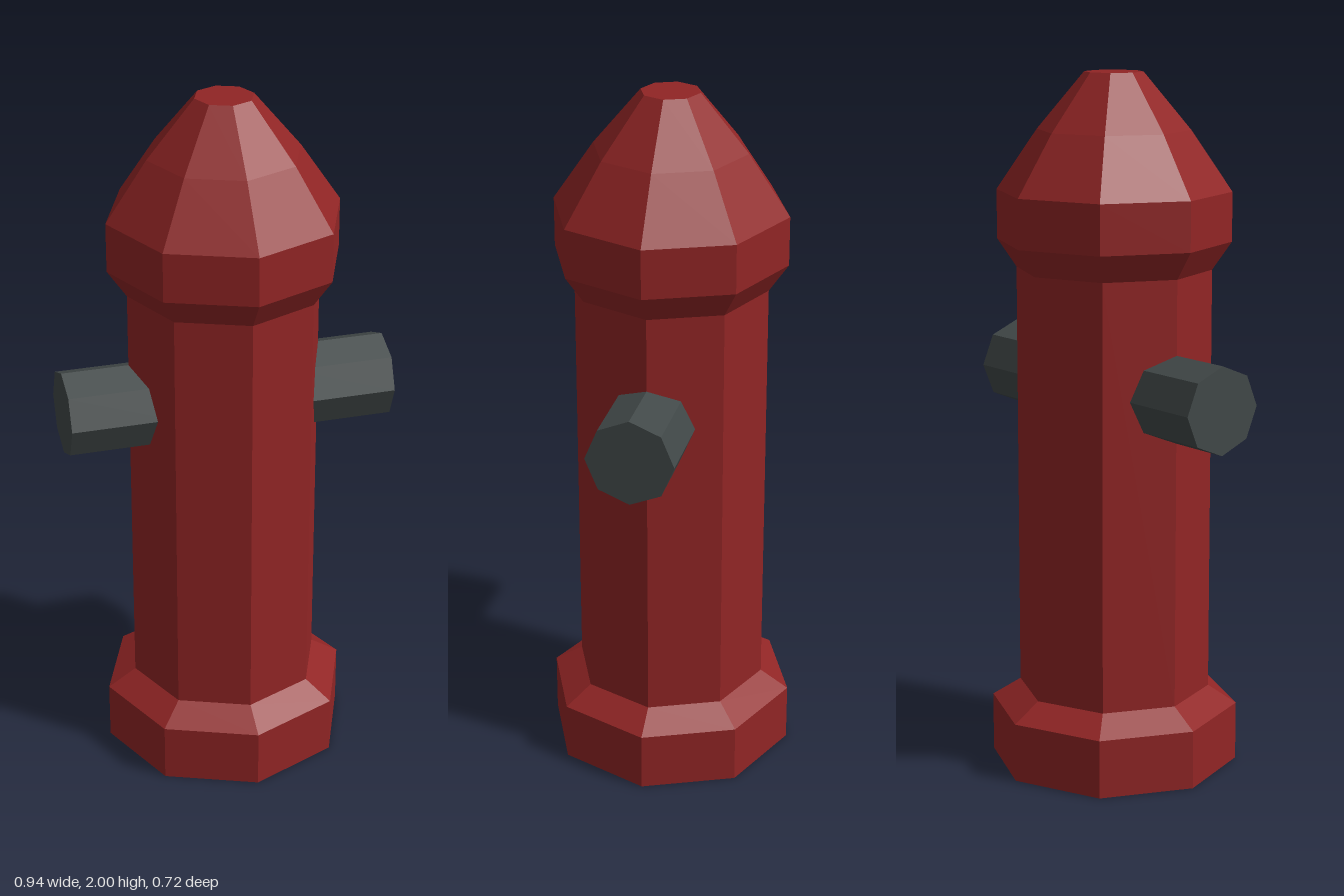
import * as THREE from 'three';

const SIDES = 8;

// Split shared vertices so every facet is flat shaded
function facet(geometry) {
  const flat = geometry.toNonIndexed();
  flat.computeVertexNormals();
  return flat;
}

// Octagonal solid of revolution from [radius, y] pairs, bottom to top
function turned(name, profile, material) {
  const points = profile.map(([r, y]) => new THREE.Vector2(r, y));
  const mesh = new THREE.Mesh(facet(new THREE.LatheGeometry(points, SIDES)), material);
  mesh.name = name;
  return mesh;
}

export function createModel() {
  const red = new THREE.MeshStandardMaterial({ color: 0x912525 });
  red.name = 'hydrant red';
  const grey = new THREE.MeshStandardMaterial({ color: 0x414848 });
  grey.name = 'iron grey';

  const hydrant = new THREE.Group();
  hydrant.name = 'fireHydrant';

  // Foot flange, barrel and domed bonnet
  hydrant.add(
    turned('base', [[0, 0], [0.36, 0], [0.36, 0.17], [0.278, 0.222]], red),
    turned('barrel', [[0.278, 0.222], [0.278, 1.45]], red),
    turned('bonnet', [[0.278, 1.45], [0.333, 1.53], [0.333, 1.67], [0.217, 1.84], [0.083, 2], [0, 2]], red),
  );

  // Side outlets, rooted inside the barrel
  const inner = 0.18, outer = 0.47;
  for (const side of [1, -1]) {
    const geometry = new THREE.CylinderGeometry(0.124, 0.124, outer - inner, SIDES);
    geometry.rotateZ(-side * Math.PI / 2);
    const outlet = new THREE.Mesh(facet(geometry), grey);
    outlet.name = side > 0 ? 'leftOutlet' : 'rightOutlet';
    outlet.position.set(side * (inner + outer) / 2, 1.115, 0);
    hydrant.add(outlet);
  }

  return hydrant;
}
